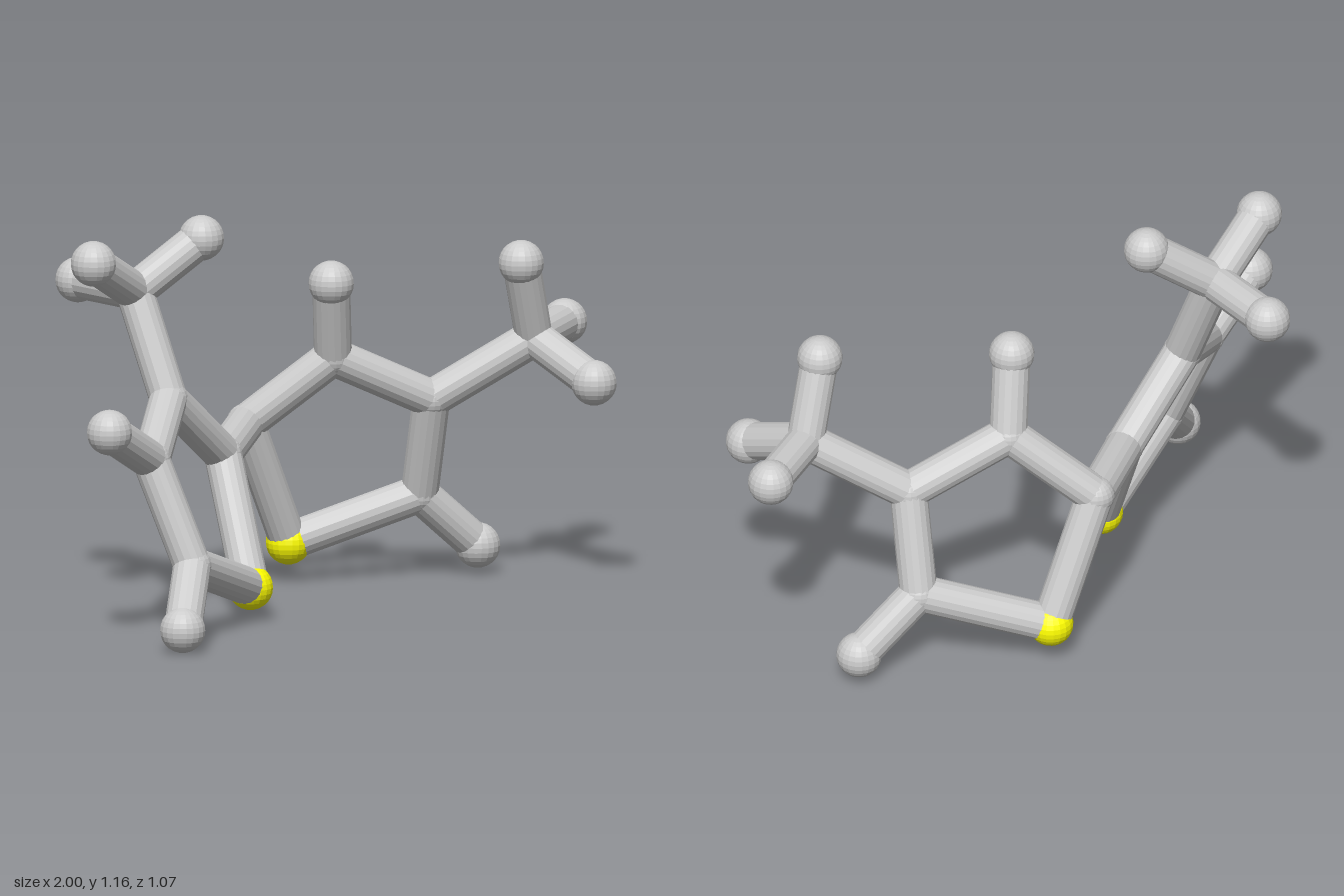
import * as THREE from 'three';

const BOND_R = 0.055;
const RADII = { C: 0.057, H: 0.066, S: 0.066 };
const NAMES = { C: 'carbonAtom', H: 'hydrogenAtom', S: 'sulfurAtom' };

// Each half: a five-sided ring, its hydrogens and a methyl group
const leftHalf = {
  atoms: {
    S1: [-0.31, 0.10, 0.075],
    C2: [-0.225, 0.455, -0.115],
    C3: [-0.48, 0.655, -0.09],
    C4: [-0.72, 0.525, 0.07],
    C5: [-0.675, 0.225, 0.19],
    H4: [-0.935, 0.64, 0.108],
    H5: [-0.83, 0.07, 0.30],
    C6: [-0.485, 0.955, -0.22],
    H6: [-0.46, 0.955, -0.47],
    H7: [-0.705, 1.07, -0.175],
    H8: [-0.305, 1.10, -0.125],
  },
  bonds: 'S1-C2 C2-C3 C3-C4 C4-C5 C5-S1 C4-H4 C5-H5 C3-C6 C6-H6 C6-H7 C6-H8',
};

const rightHalf = {
  atoms: {
    S1: [0.22, 0.12, -0.278],
    C2: [0.05, 0.49, -0.285],
    C3: [0.22, 0.685, -0.10],
    C4: [0.485, 0.545, 0.04],
    C5: [0.525, 0.25, -0.045],
    H3: [0.16, 0.915, -0.05],
    H5: [0.70, 0.085, 0.02],
    C6: [0.705, 0.72, 0.24],
    H6: [0.62, 0.955, 0.27],
    H7: [0.935, 0.727, 0.143],
    H8: [0.715, 0.615, 0.47],
  },
  bonds: 'S1-C2 C2-C3 C3-C4 C4-C5 C5-S1 C3-H3 C5-H5 C4-C6 C6-H6 C6-H7 C6-H8',
};

const UP = new THREE.Vector3(0, 1, 0);

export function createModel() {
  const grey = new THREE.MeshStandardMaterial({ color: 0xcccccc, flatShading: true });
  const yellow = new THREE.MeshStandardMaterial({ color: 0xffff00, flatShading: true });

  // Ball at an atom position
  function atom(id, p) {
    const kind = id[0];
    const mesh = new THREE.Mesh(
      new THREE.SphereGeometry(RADII[kind], 20, 14),
      kind === 'S' ? yellow : grey,
    );
    mesh.position.set(...p);
    mesh.name = NAMES[kind];
    return mesh;
  }

  // Rod between two atom positions
  function bond(p, q, name = 'bond') {
    const a = new THREE.Vector3(...p);
    const b = new THREE.Vector3(...q);
    const dir = b.clone().sub(a);
    const mesh = new THREE.Mesh(
      new THREE.CylinderGeometry(BOND_R, BOND_R, dir.length(), 18, 1, true),
      grey,
    );
    mesh.position.copy(a).add(b).multiplyScalar(0.5);
    mesh.quaternion.setFromUnitVectors(UP, dir.normalize());
    mesh.name = name;
    return mesh;
  }

  function half(data, name) {
    const group = new THREE.Group();
    group.name = name;
    for (const [id, p] of Object.entries(data.atoms)) group.add(atom(id, p));
    for (const pair of data.bonds.split(' ')) {
      const [i, j] = pair.split('-');
      group.add(bond(data.atoms[i], data.atoms[j]));
    }
    return group;
  }

  const model = new THREE.Group();
  model.name = 'molecule';
  // The bond joining the two rings
  model.add(
    half(leftHalf, 'ringAtMinusX'),
    half(rightHalf, 'ringAtPlusX'),
    bond(leftHalf.atoms.C2, rightHalf.atoms.C2, 'linkBond'),
  );
  return model;
}
